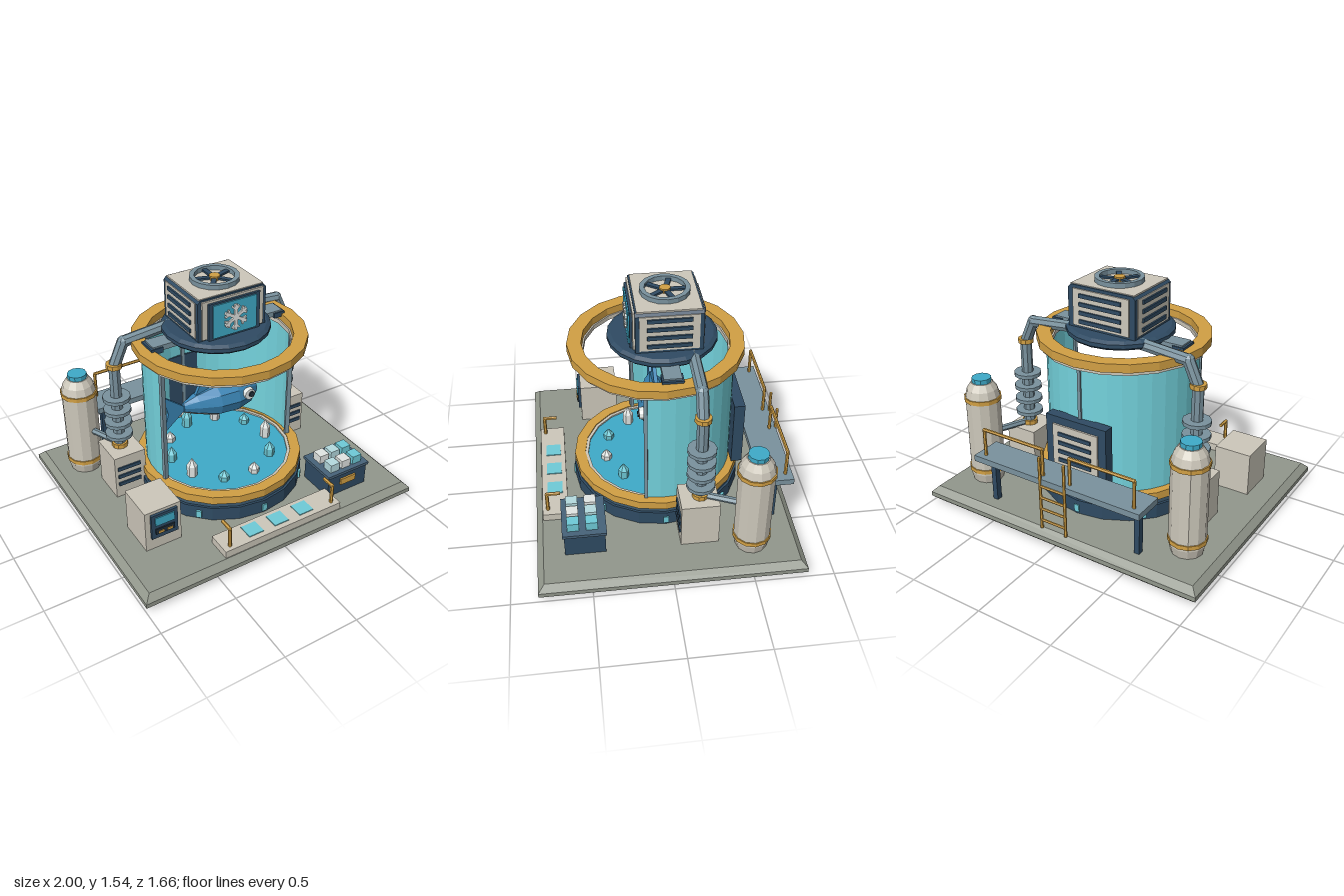
import * as THREE from 'three';

const mats = {};
function mat(color) {
  return mats[color] ??= new THREE.MeshStandardMaterial({ color, flatShading: true, side: THREE.DoubleSide });
}
const CREAM = 0xcdc8bb, GOLD = 0xd2a044, NAVY = 0x2f4b63, STEEL = 0x7a929e, CYAN = 0x6fcbd8,
  WATER = 0x3fabc9, GLASS = 0x74d3dd, STONE = 0x92978c, FISH = 0x3a84b4, WHITE = 0xe2e6e4, BLACK = 0x22303c;

export function createModel() {
  const root = new THREE.Group();
  const v = (x, y, z) => new THREE.Vector3(x, y, z);

  function add(name, geo, color, x = 0, y = 0, z = 0, parent = root) {
    const m = new THREE.Mesh(geo, mat(color));
    m.name = name;
    m.position.set(x, y, z);
    parent.add(m);
    return m;
  }
  // Box given by its min and max on each axis
  const box = (name, color, x0, x1, y0, y1, z0, z1) =>
    add(name, new THREE.BoxGeometry(x1 - x0, y1 - y0, z1 - z0), color, (x0 + x1) / 2, (y0 + y1) / 2, (z0 + z1) / 2);
  const disc = (name, color, r, y0, y1, x = 0, z = 0, sides = 20, rTop = r) =>
    add(name, new THREE.CylinderGeometry(rTop, r, y1 - y0, sides), color, x, (y0 + y1) / 2, z);
  const lathe = (name, color, pts, sides = 20, x = 0, z = 0) =>
    add(name, new THREE.LatheGeometry(pts.map(p => new THREE.Vector2(...p)), sides), color, x, 0, z);
  const ring = (name, color, r0, r1, y0, y1, x = 0, z = 0, sides = 20) =>
    lathe(name, color, [[r0, y0], [r1, y0], [r1, y1], [r0, y1], [r0, y0]], sides, x, z);
  // Round bars through a list of points, with joints at the bends
  function pipe(name, color, r, pts, sides = 8) {
    const g = new THREE.Group();
    g.name = name;
    root.add(g);
    pts.slice(1).forEach((b, i) => {
      const a = pts[i], d = b.clone().sub(a);
      const m = add(name + 'Run', new THREE.CylinderGeometry(r, r, d.length(), sides), color, 0, 0, 0, g);
      m.position.copy(a).addScaledVector(d, 0.5);
      m.quaternion.setFromUnitVectors(v(0, 1, 0), d.normalize());
      if (i > 0) add(name + 'Joint', new THREE.SphereGeometry(r * 1.02, sides, 6), color, a.x, a.y, a.z, g);
    });
  }
  function flat(pts, depth) {
    const s = new THREE.Shape(pts.map(p => new THREE.Vector2(...p)));
    return new THREE.ExtrudeGeometry(s, { depth, bevelEnabled: false }).translate(0, 0, -depth / 2);
  }

  // Bevelled ground slab
  const slab = new THREE.Shape([[-.96, -.79], [.96, -.79], [.96, .79], [-.96, .79]].map(p => new THREE.Vector2(...p)));
  add('baseSlab', new THREE.ExtrudeGeometry(slab, { depth: .03, bevelThickness: .04, bevelSize: .04, bevelSegments: 1 })
    .rotateX(-Math.PI / 2), STONE, 0, .04, 0);

  // Tank plinth, floor and lower rim
  disc('plinth', NAVY, .555, .11, .205);
  disc('plinthStep', 0x3d5a70, .54, .205, .235);
  ring('lowerRim', GOLD, .48, .55, .235, .29);
  ring('lowerSeal', CREAM, .46, .485, .235, .283);
  disc('tankFloor', WATER, .47, .235, .272);
  for (let i = 0; i < 8; i++) {
    const a = i * Math.PI / 4;
    add('plinthLight', new THREE.BoxGeometry(.035, .05, .02), CYAN, .552 * Math.sin(a), .15, .552 * Math.cos(a)).rotation.y = a;
  }

  // Glass wall, open at the front, with its posts
  const open = 1.33;
  add('glassWall', new THREE.CylinderGeometry(.495, .495, .85, 20, 1, true, open, 2 * Math.PI - 2 * open), GLASS, 0, .7, 0);
  for (const a of [open, -open, Math.PI])
    add('glassPost', new THREE.BoxGeometry(.022, .85, .03), STEEL, .49 * Math.sin(a), .7, .49 * Math.cos(a)).rotation.y = a;

  // Upper rim
  ring('upperSeal', CREAM, .455, .535, 1.1, 1.13);
  ring('upperRim', GOLD, .465, .555, 1.125, 1.18);

  // Ice crystals
  for (let i = 0; i < 10; i++) {
    const a = .17 + i * Math.PI / 5, h = .05 + .03 * (i % 3), x = .345 * Math.sin(a), z = .345 * Math.cos(a);
    lathe('iceCrystal', i % 2 ? CYAN : WHITE, [[0, .27], [.034, .27], [.036, .27 + h * .75], [0, .3 + h]], 6, x, z);
  }

  // Fish body from oval sections: x, centre y, half height, half width
  const secs = [[-.27, .695, .035, .02], [-.18, .695, .075, .065], [-.04, .69, .115, .115],
    [.09, .687, .12, .125], [.2, .685, .09, .1], [.27, .685, .04, .045]];
  const N = 10, pos = [], belly = [];
  const at = ([x, y, h, w], k) => {
    const a = (k + .5) / N * 2 * Math.PI;
    return [x, y + h * Math.cos(a), w * Math.sin(a)];
  };
  for (let i = 0; i < secs.length - 1; i++) for (let k = 0; k < N; k++) {
    const a = at(secs[i], k), b = at(secs[i + 1], k), c = at(secs[i + 1], k + 1), d = at(secs[i], k + 1);
    (k > 2 && k < 6 ? belly : pos).push(...a, ...d, ...c, ...a, ...c, ...b);
  }
  for (let k = 0; k < N; k++) {
    pos.push(.275, .685, 0, ...at(secs[5], k), ...at(secs[5], k + 1));
    pos.push(-.275, .695, 0, ...at(secs[0], k + 1), ...at(secs[0], k));
  }
  for (const [name, arr, col] of [['fishBody', pos, FISH], ['fishBelly', belly, 0xa9aca8]]) {
    const g = new THREE.BufferGeometry();
    g.setAttribute('position', new THREE.Float32BufferAttribute(arr, 3));
    g.computeVertexNormals();
    add(name, g, col);
  }
  add('fishTail', flat([[-.25, .695], [-.42, .83], [-.385, .69], [-.425, .55]], .025), FISH);
  add('fishTopFin', flat([[-.19, .75], [-.11, .915], [.1, .81], [.06, .77]], .025), FISH);
  for (const s of [-1, 1]) {
    add('fishEye', new THREE.CylinderGeometry(.038, .042, .03, 12).rotateX(s * Math.PI / 2), WHITE, .16, .72, s * .112);
    add('fishPupil', new THREE.CylinderGeometry(.02, .02, .012, 10).rotateX(Math.PI / 2), BLACK, .168, .722, s * .131);
  }

  // Cooler deck and cross beam
  box('crossBeam', STEEL, -.47, .47, 1.17, 1.205, -.1, .01);
  lathe('coolerDeck', NAVY, [[0, 1.185], [.33, 1.185], [.345, 1.2], [.345, 1.225], [.32, 1.24], [0, 1.24]], 20, 0, -.04);
  for (const s of [-1, 1]) box('beamClamp', NAVY, s * .445 - .04, s * .445 + .04, 1.16, 1.195, -.11, .02);

  // Cooler housing
  const cz = -.055;
  const body = flat([[-.24, 1.24], [.24, 1.24], [.24, 1.49], [.22, 1.51], [-.22, 1.51], [-.24, 1.49]], .41);
  add('coolerBody', body, NAVY, 0, 0, cz);
  box('coolerLid', CREAM, -.225, .225, 1.49, 1.515, cz - .195, cz + .195);
  for (const s of [-1, 1]) {
    box('sidePanel', CREAM, s * .24 - .006, s * .24 + .006, 1.255, 1.49, cz - .18, cz + .18);
    for (let i = 0; i < 4; i++)
      box('sideLouvre', NAVY, s * .249 - .008, s * .249 + .008, 1.275 + i * .058, 1.3 + i * .058, cz - .135, cz + .135);
  }
  box('rearPanel', CREAM, -.2, .2, 1.255, 1.49, cz - .215, cz - .2);
  for (let i = 0; i < 4; i++) box('rearLouvre', NAVY, -.15, .15, 1.275 + i * .055, 1.3 + i * .055, cz - .227, cz - .21);
  box('frontPanel', CREAM, -.215, .215, 1.25, 1.5, cz + .2, cz + .217);
  box('screenFrame', NAVY, -.18, .18, 1.242, 1.485, cz + .21, cz + .232);
  box('screen', WATER, -.152, .152, 1.255, 1.473, cz + .225, cz + .24);
  const flake = new THREE.Group();
  flake.name = 'snowflake';
  flake.position.set(0, 1.365, cz + .244);
  root.add(flake);
  for (let i = 0; i < 6; i++) {
    const arm = new THREE.Group();
    arm.rotation.z = i * Math.PI / 3;
    flake.add(arm);
    add('flakeArm', new THREE.BoxGeometry(.02, .085, .014), WHITE, 0, .0425, 0, arm);
    for (const s of [-1, 1])
      add('flakeBarb', new THREE.BoxGeometry(.013, .034, .012), WHITE, s * .013, .062, 0, arm).rotation.z = -s * .8;
  }

  // Roof fan
  ring('fanRing', STEEL, .125, .155, 1.51, 1.545, 0, cz, 16);
  for (let i = 0; i < 5; i++) {
    const a = i * Math.PI * 2 / 5 + Math.PI;
    add('fanBlade', new THREE.BoxGeometry(.032, .012, .12), NAVY, .07 * Math.sin(a), 1.526, cz + .07 * Math.cos(a)).rotation.y = a;
  }
  disc('fanHub', GOLD, .035, 1.51, 1.542, 0, cz, 10);

  // Mirrored cooling pipes, pumps and gas bottles
  for (const s of [-1, 1]) {
    pipe('coolantPipe', STEEL, .038, [v(s * .24, 1.205, -.2), v(s * .57, 1.175, -.2), v(s * .64, 1.02, -.2), v(s * .64, .41, -.2)]);
    for (const y of [1.03, .435]) disc('pipeCollar', GOLD, .052, y - .015, y + .015, s * .64, -.2, 10);
    for (let i = 0; i < 4; i++) disc('coolingFin', STEEL, .09, .505 + i * .092, .53 + i * .092, s * .64, -.2, 12);
    box('pumpBox', CREAM, s * .635 - .11, s * .635 + .11, .11, .42, -.31, -.07);
    for (let i = 0; i < 3; i++) box('pumpLouvre', NAVY, s * .645 - .08, s * .645 + .08, .2 + i * .06, .225 + i * .06, -.075, -.06);
    pipe('bottleFeed', STEEL, .022, [v(s * .64, .435, -.2), v(s * .77, .435, -.5)], 6);
    lathe('gasBottle', CREAM, [[0, .11], [.1, .11], [.115, .17], [.115, .72], [.1, .775], [.07, .82], [0, .82]], 12, s * .77, -.51);
    for (const y of [.2, .71]) disc('bottleBand', GOLD, .122, y - .014, y + .014, s * .77, -.51, 12);
    disc('bottleCap', WATER, .064, .82, .85, s * .77, -.51, 10);
  }

  // Rear service panel
  box('servicePanel', NAVY, -.22, .22, .3, .76, -.55, -.48);
  box('serviceFace', CREAM, -.165, .165, .36, .71, -.562, -.54);
  for (let i = 0; i < 5; i++) box('serviceLouvre', NAVY, -.12, .12, .4 + i * .06, .425 + i * .06, -.572, -.555);

  // Rear walkway, railings and ladder
  box('walkway', STEEL, -.61, .61, .42, .46, -.8, -.59);
  for (const s of [-1, 1]) {
    box('walkwayLeg', NAVY, s * .54 - .018, s * .54 + .018, .11, .42, -.71, -.67);
    pipe('railing', GOLD, .011, [v(s * .55, .46, -.755), v(s * .55, .64, -.755), v(s * .1, .64, -.755), v(s * .1, .46, -.755)], 6);
    pipe('ladderSide', GOLD, .01, [v(s * .09, .11, -.8), v(s * .09, .61, -.8)], 6);
  }
  for (let i = 0; i < 4; i++) pipe('ladderRung', GOLD, .009, [v(-.09, .17 + i * .08, -.8), v(.09, .17 + i * .08, -.8)], 6);

  // Control cabinet
  box('cabinet', CREAM, -.815, -.57, .11, .4, .22, .48);
  box('cabinetFrame', NAVY, -.78, -.6, .2, .38, .475, .497);
  box('cabinetScreen', WATER, -.755, -.625, .3, .36, .49, .504);
  box('cabinetKeys', BLACK, -.755, -.625, .235, .275, .49, .505);
  for (const x of [-.72, -.66]) box('cabinetButton', GOLD, x - .018, x + .018, .243, .258, .5, .51);

  // Ice cube crate
  box('crate', NAVY, .435, .745, .11, .265, .4, .655);
  box('crateRim', 0x47637a, .425, .755, .262, .282, .39, .665);
  box('crateLabel', GOLD, .53, .65, .18, .225, .65, .667);
  for (let i = 0; i < 3; i++) for (const z of [.48, .595])
    box('iceCube', i === 2 ? CYAN : [WHITE, 0xb5dbe0][(i + (z > .5 ? 1 : 0)) % 2],
      .465 + i * .09, .535 + i * .09, .275, .34, z - .037, z + .037);

  // Front step with pads and hand rails
  box('frontStep', CREAM, -.435, .435, .11, .16, .62, .785);
  for (const x of [-.19, 0, .19]) box('stepPad', CYAN, x - .053, x + .053, .155, .166, .65, .75);
  for (const s of [-1, 1])
    pipe('handRail', GOLD, .012, [v(s * .385, .15, .75), v(s * .385, .295, .75), v(s * .385, .295, .665)], 6);

  return root;
}
